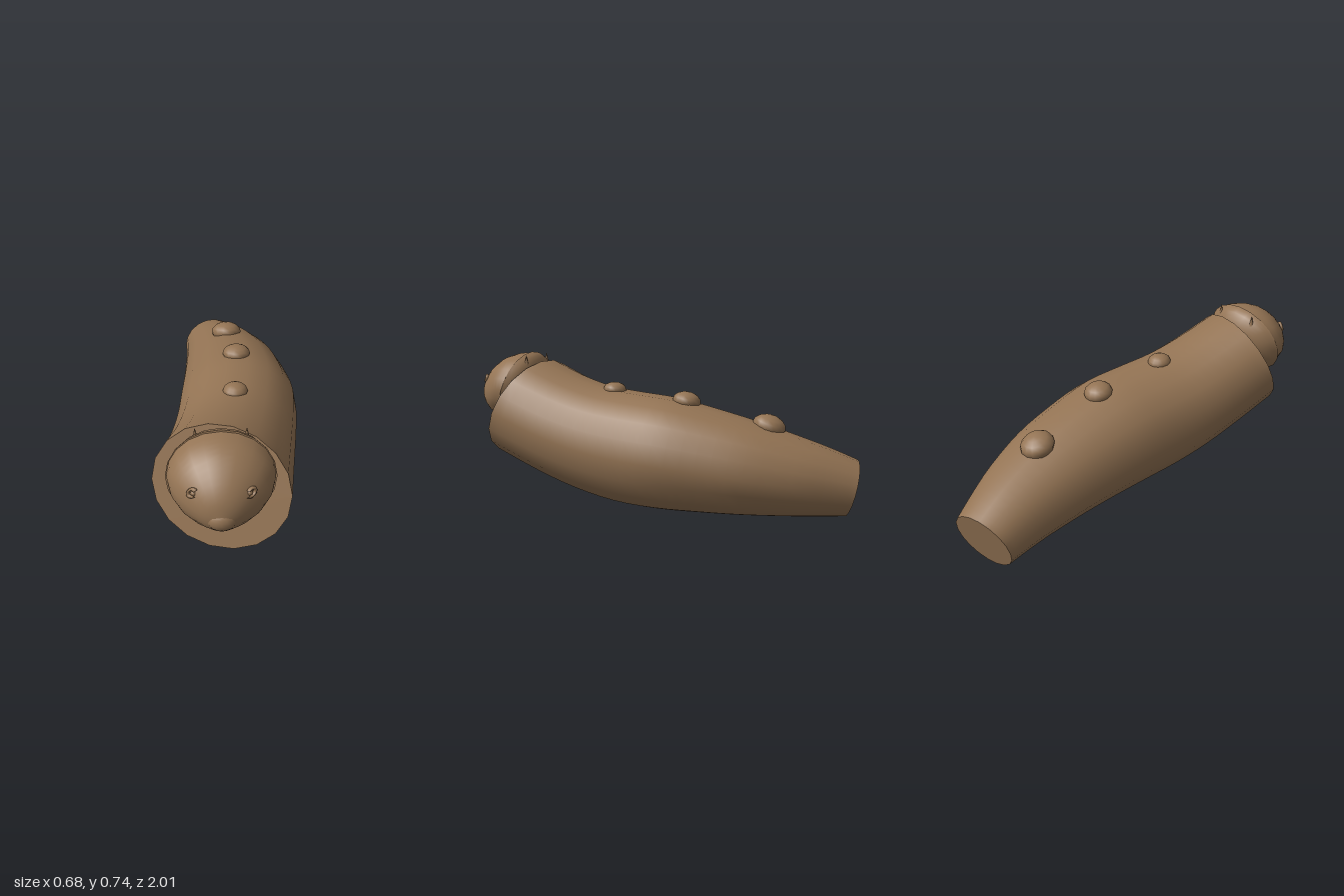
import * as THREE from 'three';

const brown = new THREE.MeshStandardMaterial({ color: 0x947454 });
brown.name = 'brown skin';

// Smooth curve through rows of section values
function refine(rows, steps) {
  const out = [];
  for (let i = 0; i < rows.length - 1; i++) {
    const p0 = rows[Math.max(i - 1, 0)], p1 = rows[i], p2 = rows[i + 1];
    const p3 = rows[Math.min(i + 2, rows.length - 1)];
    for (let s = 0; s < steps; s++) {
      const t = s / steps;
      out.push(p1.map((v, k) => {
        const cubic = 3 * (v - p2[k]) + p3[k] - p0[k];
        const square = 2 * p0[k] - 5 * v + 4 * p2[k] - p3[k];
        return v + 0.5 * t * (p2[k] - p0[k] + t * (square + t * cubic));
      }));
    }
  }
  out.push(rows[rows.length - 1]);
  return out;
}

// Loft from front to back; row: z, left, right, top, bottom, z lean across, z lean upward
function loft(rows, sides, steps) {
  const rings = refine(rows, steps).map(([z, l, r, t, b, tx, ty]) =>
    Array.from({ length: sides }, (_, j) => {
      const a = (j / sides) * Math.PI * 2, c = Math.cos(a), s = Math.sin(a);
      return [(l + r) / 2 + (r - l) / 2 * c, (t + b) / 2 + (t - b) / 2 * s, z + tx * c + ty * s];
    }));
  const pos = rings.flat(2), idx = [];
  for (let i = 0; i < rings.length - 1; i++) {
    for (let j = 0; j < sides; j++) {
      const k = (j + 1) % sides;
      const a = i * sides + j, b = i * sides + k, c = a + sides, d = b + sides;
      idx.push(a, c, b, b, c, d);
    }
  }
  // Flat end caps with their own vertices
  [rings[0], rings[rings.length - 1]].forEach((ring, end) => {
    const start = pos.length / 3;
    pos.push(...ring.flat());
    for (let j = 1; j < sides - 1; j++) {
      if (end) idx.push(start, start + j + 1, start + j);
      else idx.push(start, start + j, start + j + 1);
    }
  });
  const g = new THREE.BufferGeometry();
  g.setAttribute('position', new THREE.Float32BufferAttribute(pos, 3));
  g.setIndex(idx);
  g.computeVertexNormals();
  return g;
}

export function createModel() {
  const model = new THREE.Group();
  model.name = 'caterpillar';
  const add = (name, geometry, x = 0, y = 0, z = 0) => {
    const m = new THREE.Mesh(geometry, brown);
    m.name = name;
    m.position.set(x, y, z);
    model.add(m);
    return m;
  };

  // Curved body with cut-off ends
  add('body', loft([
    [0.72, -0.342, 0.24, 0.70, 0.205, 0.06, -0.105],
    [0.50, -0.31, 0.27, 0.63, 0.115, 0.04, -0.08],
    [0.30, -0.288, 0.298, 0.585, 0.05, 0.02, -0.06],
    [0.10, -0.27, 0.325, 0.567, 0.01, 0, -0.04],
    [-0.10, -0.26, 0.34, 0.55, 0.001, -0.01, -0.03],
    [-0.30, -0.25, 0.315, 0.507, 0.003, -0.02, -0.03],
    [-0.50, -0.243, 0.27, 0.455, 0.006, -0.03, -0.03],
    [-0.70, -0.24, 0.19, 0.39, 0.01, -0.035, -0.03],
    [-0.84, -0.242, 0.113, 0.338, 0.012, -0.04, -0.03],
    [-0.96, -0.25, 0.045, 0.285, 0.015, -0.04, -0.03],
  ], 18, 3));

  // Rounded face
  add('face', loft([
    [0.988, -0.07, -0.03, 0.53, 0.485, 0, 0],
    [0.97, -0.12, 0.02, 0.59, 0.45, 0, 0],
    [0.935, -0.17, 0.07, 0.65, 0.43, 0, -0.01],
    [0.88, -0.225, 0.125, 0.707, 0.408, 0, -0.03],
    [0.82, -0.26, 0.16, 0.732, 0.397, 0, -0.045],
    [0.765, -0.27, 0.17, 0.735, 0.39, 0, -0.055],
  ], 20, 3));

  // Back of the head, a little larger than the face so its rim shows
  add('headBack', loft([
    [0.765, -0.276, 0.176, 0.742, 0.363, 0, -0.058],
    [0.72, -0.25, 0.15, 0.722, 0.385, 0, -0.05],
    [0.68, -0.20, 0.10, 0.665, 0.43, 0, -0.04],
    [0.65, -0.12, 0.02, 0.60, 0.50, 0, -0.02],
  ], 20, 3));

  // Soft snout
  add('snout', new THREE.SphereGeometry(0.055, 16, 12), -0.05, 0.5, 0.956).scale.set(1.1, 0.9, 0.8);

  // Eyes with curved lids, and small horns, mirrored about the head
  for (const side of [-1, 1]) {
    const x = -0.05 + side * 0.113;
    add('eye', new THREE.SphereGeometry(0.012, 12, 8), x - side * 0.006, 0.601, 0.918);
    const lid = add('eyelid', new THREE.TorusGeometry(0.019, 0.008, 8, 20, Math.PI * 1.6), x, 0.604, 0.92);
    lid.scale.set(1.05, 0.75, 1.2);
    lid.rotation.set(-0.3, side * 0.6, side > 0 ? -Math.PI * 0.8 : Math.PI * 0.2);
    add('horn', new THREE.ConeGeometry(0.014, 0.06, 10), -0.05 + side * 0.104, 0.702, 0.68);
  }

  // Warts along the back: x, y, z, radius, tilt
  [
    [0.02, 0.575, 0.195, 0.058, -0.07],
    [0.035, 0.54, -0.19, 0.069, -0.18],
    [-0.01, 0.438, -0.585, 0.08, -0.3],
  ].forEach(([x, y, z, r, tilt]) => {
    const wart = add('wart', new THREE.SphereGeometry(r, 14, 8), x, y, z);
    wart.scale.y = 0.64;
    wart.rotation.x = tilt;
  });

  return model;
}
